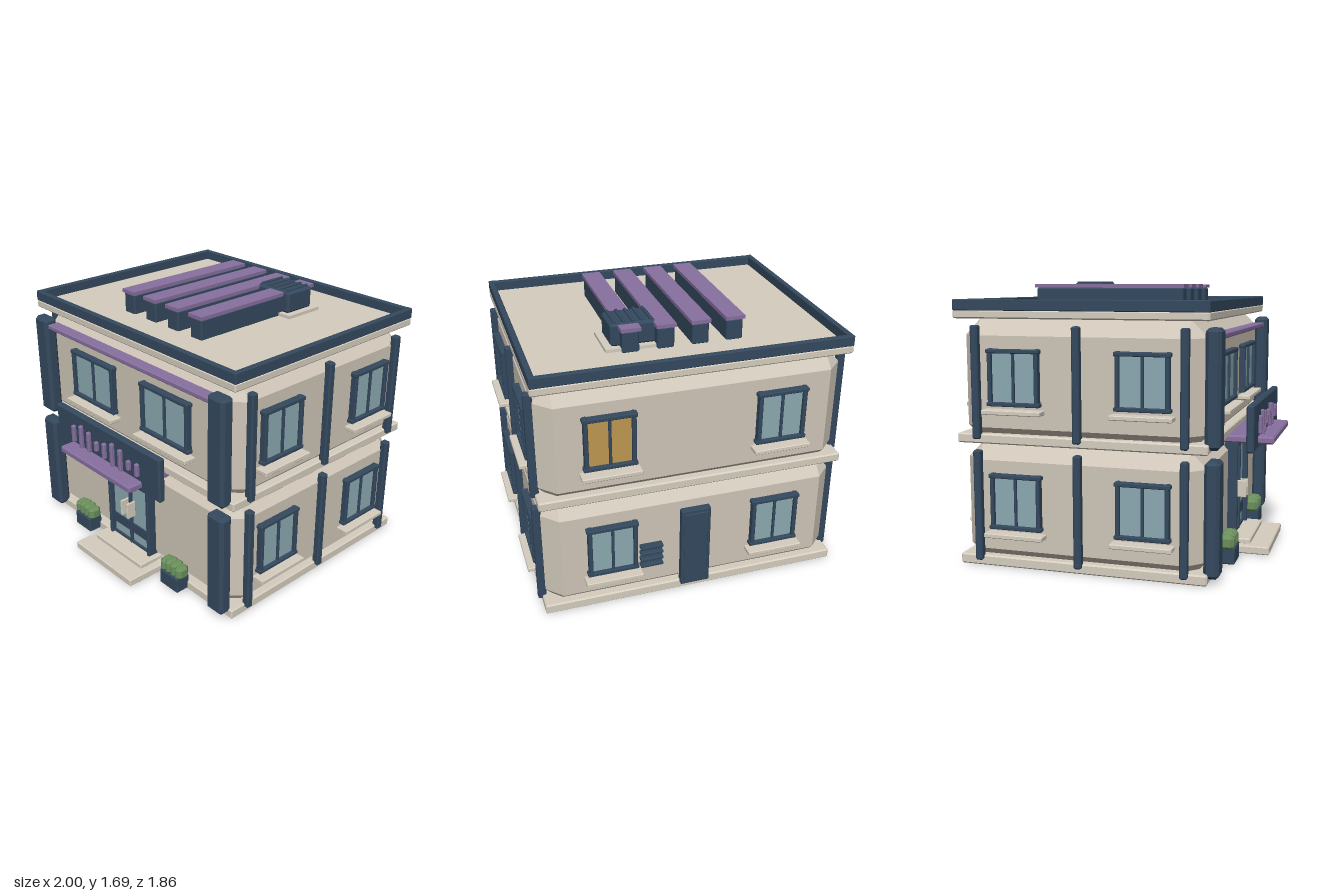
import * as THREE from 'three';
import { ConvexGeometry } from 'three/addons/geometries/ConvexGeometry.js';

const mat = (color) => new THREE.MeshStandardMaterial({ color, flatShading: true });
const WALL = mat(0xcfc6b8), STONE = mat(0xd6cebf), NAVY = mat(0x34495e), GLASS = mat(0x8caab2),
  PURPLE = mat(0x88709f), GREEN = mat(0x6a8f5c), AMBER = mat(0xbf9850);

// Box with every edge chamfered by b
function chamferBox(w, h, d, b) {
  const pts = [];
  for (const x of [-1, 1]) for (const y of [-1, 1]) for (const z of [-1, 1]) {
    const X = x * w / 2, Y = y * h / 2, Z = z * d / 2, c = [x * b, y * b, z * b];
    pts.push(new THREE.Vector3(X, Y - c[1], Z - c[2]),
      new THREE.Vector3(X - c[0], Y, Z - c[2]),
      new THREE.Vector3(X - c[0], Y - c[1], Z));
  }
  return new ConvexGeometry(pts);
}

// Adds a block given by its min/max extents; b > 0 chamfers the edges
function block(parent, name, material, [x0, x1], [y0, y1], [z0, z1], b = 0) {
  const w = x1 - x0, h = y1 - y0, d = z1 - z0;
  const geo = b ? chamferBox(w, h, d, b) : new THREE.BoxGeometry(w, h, d);
  const mesh = new THREE.Mesh(geo, material);
  mesh.name = name;
  mesh.position.set((x0 + x1) / 2, (y0 + y1) / 2, (z0 + z1) / 2);
  parent.add(mesh);
  return mesh;
}

// Two-pane window facing +z, wall plane at z = 0, y = 0 at the frame bottom
function makeWindow(w, h, glass = GLASS) {
  const g = new THREE.Group(), r = w / 2;
  g.name = 'window';
  block(g, 'windowGlass', glass, [-r + 0.01, r - 0.01], [0.01, h - 0.01], [-0.02, 0.018]);
  for (const x of [-r + 0.02, r - 0.02])
    block(g, 'windowPost', NAVY, [x - 0.012, x + 0.012], [0, h], [-0.01, 0.04], 0.004);
  block(g, 'windowMullion', NAVY, [-0.008, 0.008], [0.01, h - 0.01], [-0.01, 0.032], 0.003);
  for (const y of [0.012, h - 0.015])
    block(g, 'windowRail', NAVY, [-r, r], [y - 0.012, y + 0.012], [-0.01, 0.042], 0.004);
  block(g, 'windowSill', STONE, [-r - 0.018, r + 0.018], [-0.045, -0.018], [-0.03, 0.08], 0.004);
  return g;
}

export function createModel() {
  const root = new THREE.Group();
  root.name = 'building';
  const front = 0.625, back = -0.85, side = 0.92, floors = [0, 0.735];

  // Chamfered storeys and the slabs around them
  for (const y of floors)
    block(root, 'storey', WALL, [-side, side], [y + 0.002, y + 0.742], [back, front], 0.1);
  block(root, 'baseSlab', STONE, [-0.935, 0.935], [0, 0.062], [-0.865, 0.65], 0.008);
  block(root, 'middleSlab', STONE, [-0.935, 0.935], [0.742, 0.8], [-0.865, 0.65], 0.008);
  block(root, 'roofSlab', STONE, [-0.94, 0.94], [1.475, 1.525], [-0.875, 0.655], 0.008);

  // Parapet
  for (const s of [-1, 1])
    block(root, 'sideParapet', NAVY, s < 0 ? [-0.94, -0.905] : [0.905, 0.94], [1.52, 1.586], [-0.875, 0.655], 0.005);
  block(root, 'frontParapet', NAVY, [-0.93, 0.93], [1.52, 1.585], [0.62, 0.654], 0.005);
  block(root, 'backParapet', NAVY, [-0.93, 0.93], [1.52, 1.585], [-0.874, -0.84], 0.005);

  // Front pilasters, side fins and side windows on both storeys
  for (const y of floors) for (const s of [-1, 1]) {
    block(root, 'frontPilaster', NAVY, s < 0 ? [-0.905, -0.77] : [0.77, 0.905],
      [y + 0.03, y + 0.702], [0.62, 0.71], 0.02);
    for (const z of [0.52, -0.11, -0.735])
      block(root, 'sideFin', NAVY, s < 0 ? [-0.96, -0.91] : [0.91, 0.96],
        [y + 0.035, y + 0.703], [z - 0.023, z + 0.023], 0.008);
    for (const z of [0.28, -0.495]) {
      const win = makeWindow(0.33, 0.335);
      win.position.set(s * side, y + 0.235, z);
      win.rotation.y = s * Math.PI / 2;
      root.add(win);
    }
    // Back windows, one of them lit
    const win = makeWindow(0.315, 0.335, y > 0 && s > 0 ? AMBER : GLASS);
    win.position.set(s * 0.515, y + 0.235, back);
    win.rotation.y = Math.PI;
    root.add(win);
  }

  // Upper front windows and trim
  for (const s of [-1, 1]) {
    const win = makeWindow(0.44, 0.32);
    win.position.set(s * 0.35, 0.965, front);
    root.add(win);
  }
  block(root, 'frontTrim', PURPLE, [-0.78, 0.78], [1.368, 1.4], [0.61, 0.69], 0.006);

  // Entrance doors
  const door = new THREE.Group();
  door.name = 'entrance';
  block(door, 'doorGlass', GLASS, [-0.19, 0.19], [0.085, 0.675], [0.6, 0.65]);
  for (const x of [-0.195, 0.195])
    block(door, 'doorPost', NAVY, [x - 0.012, x + 0.012], [0.06, 0.685], [0.6, 0.685], 0.004);
  block(door, 'doorMeetingPost', NAVY, [-0.009, 0.009], [0.08, 0.675], [0.6, 0.67], 0.003);
  block(door, 'doorHead', NAVY, [-0.207, 0.207], [0.663, 0.69], [0.6, 0.69], 0.004);
  block(door, 'doorBottomRail', NAVY, [-0.19, 0.19], [0.08, 0.1], [0.6, 0.665]);
  block(door, 'doorKickBand', NAVY, [-0.19, 0.19], [0.168, 0.235], [0.6, 0.66]);
  for (const x of [-0.03, 0.03])
    block(door, 'doorHandle', STONE, [x - 0.007, x + 0.007], [0.3, 0.41], [0.65, 0.715], 0.003);
  root.add(door);

  // Entrance steps
  block(root, 'lowerStep', STONE, [-0.29, 0.29], [0.005, 0.055], [0.6, 0.905], 0.006);
  block(root, 'upperStep', STONE, [-0.24, 0.24], [0.05, 0.085], [0.6, 0.78], 0.006);

  // Canopy and sign board with plain upright bars
  block(root, 'canopy', PURPLE, [-0.352, 0.352], [0.715, 0.762], [0.6, 0.93], 0.01);
  block(root, 'signBoard', NAVY, [-0.515, 0.515], [0.685, 0.972], [0.787, 0.833], 0.01);
  [0.055, 0.08, 0.065, 0.03, 0.05, 0.08, 0.07, 0.03, 0.04].forEach((h, i) => {
    const x = (i - 4) * 0.08;
    block(root, 'signBar', PURPLE, [x - 0.014, x + 0.014], [0.828 - h, 0.848 + h - 0.015], [0.82, 0.855], 0.006);
  });

  // Planters with clipped shrubs
  for (const s of [-1, 1]) {
    const planter = new THREE.Group();
    planter.name = 'planter';
    planter.position.set(s * 0.457, 0, 0.685);
    block(planter, 'planterBox', NAVY, [-0.082, 0.082], [0.008, 0.11], [-0.05, 0.05], 0.006);
    for (let i = 0; i < 4; i++) {
      const x = (i - 1.5) * 0.045, top = i % 3 ? 0.197 : 0.188;
      block(planter, 'shrub', GREEN, [x - 0.03, x + 0.03], [0.095, top], [-0.045, 0.045], 0.022);
    }
    root.add(planter);
  }

  // Back door and louvre vent
  block(root, 'backDoorFrame', NAVY, [-0.092, 0.092], [0.04, 0.588], [-0.89, -0.84], 0.006);
  block(root, 'backDoorPanel', NAVY, [-0.075, 0.075], [0.05, 0.565], [-0.897, -0.86], 0.004);
  for (let i = 0; i < 4; i++) {
    const y = 0.24 + i * 0.043;
    block(root, 'ventSlat', NAVY, [0.207, 0.347], [y - 0.011, y + 0.011], [-0.893, -0.84], 0.005);
  }

  // Rooftop panels on long boxes
  for (let i = 0; i < 4; i++) {
    const x = -0.315 + i * 0.208;
    block(root, 'panelBase', NAVY, [x - 0.05, x + 0.05], [1.52, 1.65], [-0.587, 0.365], 0.008);
    block(root, 'roofPanel', PURPLE, [x - 0.059, x + 0.059], [1.65, 1.672], [-0.595, 0.373]);
  }

  // Rooftop air unit
  block(root, 'airUnitPad', STONE, [0.135, 0.45], [1.52, 1.545], [-0.56, -0.285]);
  block(root, 'airUnit', NAVY, [0.14, 0.412], [1.54, 1.68], [-0.53, -0.312], 0.015);
  for (let i = 0; i < 5; i++) {
    const x = 0.17 + i * 0.053;
    block(root, 'airUnitRib', NAVY, [x - 0.009, x + 0.009], [1.67, 1.692], [-0.515, -0.327], 0.004);
  }
  return root;
}
